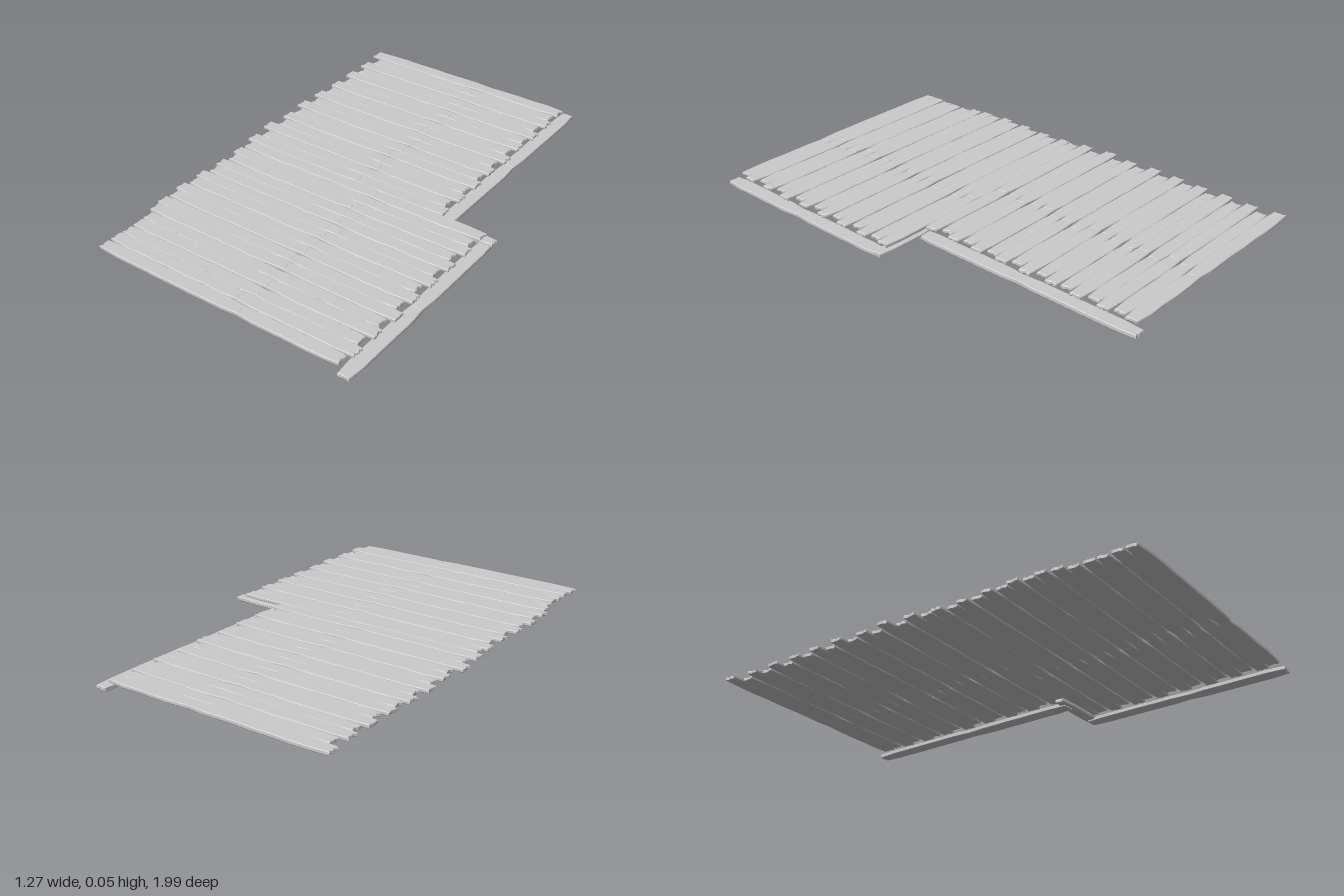
import * as THREE from 'three';

export function createModel() {
  const model = new THREE.Group();
  model.name = 'plankDeck';
  const material = new THREE.MeshStandardMaterial({ color: 0xcccccc, flatShading: true });

  // Small seeded generator for the worn edges
  let seed = 17;
  const wobble = (amount) => {
    seed = (seed * 16807) % 2147483647;
    return (seed / 2147483647 * 2 - 1) * amount;
  };

  // Worn board along x: wavy sides, ragged ends and bevelled edges
  function board(name, x0, x1, z, width, y0, y1, wear) {
    const bevel = 0.003;
    const half = width / 2 - bevel;
    const a = x0 + bevel, b = x1 - bevel;
    const steps = Math.max(4, Math.round((b - a) / 0.08));
    const points = [];
    const side = (s, from, to) => {
      for (let i = 0; i <= steps; i++) {
        const isEnd = i === 0 || i === steps;
        const inset = isEnd ? 0.007 : Math.abs(wobble(wear * 0.7));
        points.push(new THREE.Vector2(from + (to - from) * i / steps, s * (half - inset)));
      }
    };
    const end = (x, inward, s) => {
      for (const t of [-0.4, 0.05, 0.45]) {
        points.push(new THREE.Vector2(x + inward * (0.002 + Math.abs(wobble(wear * 2))), s * t * half));
      }
    };
    side(-1, a + 0.004, b - 0.004);
    end(b, -1, 1);
    side(1, b - 0.004, a + 0.004);
    end(a, 1, -1);
    const geometry = new THREE.ExtrudeGeometry(new THREE.Shape(points), {
      depth: y1 - y0 - 2 * bevel, bevelEnabled: true, bevelSize: bevel,
      bevelThickness: bevel, bevelSegments: 1, steps: 1,
    });
    geometry.rotateX(-Math.PI / 2);
    geometry.translate(0, y0 + bevel, z);
    const mesh = new THREE.Mesh(geometry, material);
    mesh.name = name;
    return mesh;
  }

  // Rows of planks, each made of two lengths that lap at the joint
  function deck(name, zStart, zEnd, rows, leftEnd, rightEnd, joint) {
    const group = new THREE.Group();
    group.name = name;
    const pitch = (zEnd - zStart) / rows;
    for (let i = 0; i < rows; i++) {
      const z = zStart + pitch * (i + 0.5);
      const raised = i % 2 === 0;
      const y = raised ? 0.036 : 0.033;
      const width = pitch + (raised ? 0.006 : 0.003);
      const left = leftEnd(i, raised) + wobble(0.008);
      const right = rightEnd - (raised ? 0 : 0.025) + wobble(0.006);
      const middle = joint + wobble(0.035);
      group.add(
        board('leftPlank', left, middle + 0.012, z, width, y, y + 0.016, 0.005),
        board('rightPlank', middle - 0.012, right, z, width, y - 0.001, y + 0.0145, 0.005),
      );
    }
    model.add(group);
  }
  deck('backDeck', -0.975, 0.05, 17, (i, raised) => (raised ? -0.63 : -0.6), 0.39, -0.03);
  deck('frontDeck', 0.05, 0.983, 16,
    (i, raised) => (i > 10 ? -0.56 : raised ? -0.585 : -0.61), 0.6, 0.09);

  // Bearers under the right-hand edges, each in two lengths
  function bearer(name, x, z0, z1, width, y0, y1) {
    const mesh = board(name, -(z1 - z0) / 2, (z1 - z0) / 2, 0, width, y0, y1, 0.003);
    mesh.rotation.y = Math.PI / 2;
    mesh.position.set(x, 0, (z0 + z1) / 2);
    model.add(mesh);
  }
  bearer('backBearer', 0.398, -1, -0.45, 0.062, 0.008, 0.026);
  bearer('backBearer', 0.396, -0.465, 0.075, 0.064, 0.006, 0.024);
  bearer('frontBearer', 0.604, 0.05, 0.565, 0.062, 0.005, 0.022);
  bearer('frontBearer', 0.604, 0.55, 1, 0.064, 0.004, 0.021);

  // Cross bearer along the step in the outline
  model.add(board('crossBearer', 0.33, 0.64, 0.064, 0.052, 0.013, 0.031, 0.003));

  return model;
}
